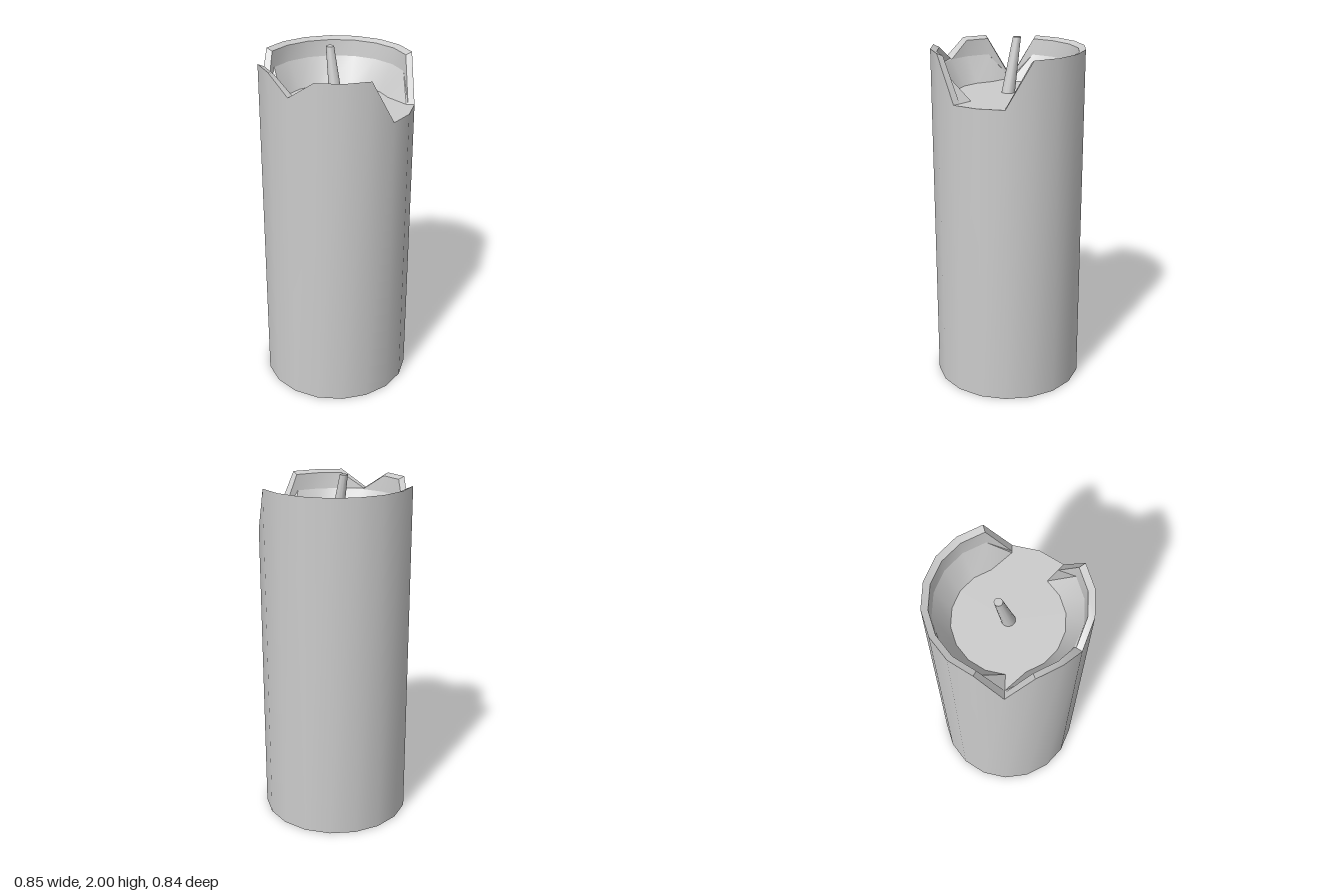
import * as THREE from 'three';
import { toCreasedNormals } from 'three/addons/utils/BufferGeometryUtils.js';

const SIDES = 18;
const RADIUS = 0.425;
const FLOOR = 1.70;
const FLOOR_RADIUS = 0.295;

// Corners of the rim that have melted down, by index round the candle
const melted = { 2: FLOOR, 3: FLOOR, 4: FLOOR, 8: 1.85, 11: FLOOR };
const rimHeight = (k) => melted[k] ?? 1.95;

const material = new THREE.MeshStandardMaterial({ color: 0xcccccc, side: THREE.DoubleSide });

// Surface swept round the axis through [radius, height] rings, cut by the melted rim
function band(name, rings) {
  const positions = [];
  const index = [];
  rings.forEach(([r, y]) => {
    for (let k = 0; k < SIDES; k++) {
      const a = (k / SIDES) * Math.PI * 2;
      positions.push(r * Math.cos(a), Math.min(y, rimHeight(k)), r * Math.sin(a));
    }
  });
  for (let i = 0; i < rings.length - 1; i++) {
    for (let k = 0; k < SIDES; k++) {
      const next = (k + 1) % SIDES;
      const a = i * SIDES + k, b = i * SIDES + next;
      const c = a + SIDES, d = b + SIDES;
      index.push(a, c, b, b, c, d);
    }
  }
  const geometry = new THREE.BufferGeometry();
  geometry.setAttribute('position', new THREE.Float32BufferAttribute(positions, 3));
  geometry.setIndex(index);
  const mesh = new THREE.Mesh(toCreasedNormals(geometry, 0.6), material);
  mesh.name = name;
  return mesh;
}

// Flat disc facing up or down
function disc(name, radius, y, facing) {
  const geometry = new THREE.CircleGeometry(radius, SIDES);
  geometry.rotateX(-facing * Math.PI / 2);
  const mesh = new THREE.Mesh(geometry, material);
  mesh.name = name;
  mesh.position.y = y;
  return mesh;
}

// Tapered wick leaning towards the back, with a level tip
function wick() {
  const height = 2 - FLOOR;
  const geometry = new THREE.CylinderGeometry(0.022, 0.037, height, 20);
  geometry.translate(0, height / 2, 0);
  const p = geometry.attributes.position;
  for (let i = 0; i < p.count; i++) p.setZ(i, p.getZ(i) - 0.06 * p.getY(i) / height);
  const mesh = new THREE.Mesh(toCreasedNormals(geometry, 0.6), material);
  mesh.name = 'wick';
  mesh.position.y = FLOOR;
  return mesh;
}

export function createModel() {
  const candle = new THREE.Group();
  candle.name = 'candle';
  candle.add(
    disc('base', RADIUS, 0, -1),
    band('outerWall', [[RADIUS, 0], [RADIUS, 1.95]]),
    band('rim', [[RADIUS, 1.95], [0.39, 1.935]]),
    band('innerLip', [[0.39, 1.935], [0.38, 1.845]]),
    band('meltedSlope', [[0.38, 1.845], [FLOOR_RADIUS, FLOOR]]),
    disc('waxPool', FLOOR_RADIUS, FLOOR, 1),
    wick(),
  );
  return candle;
}
